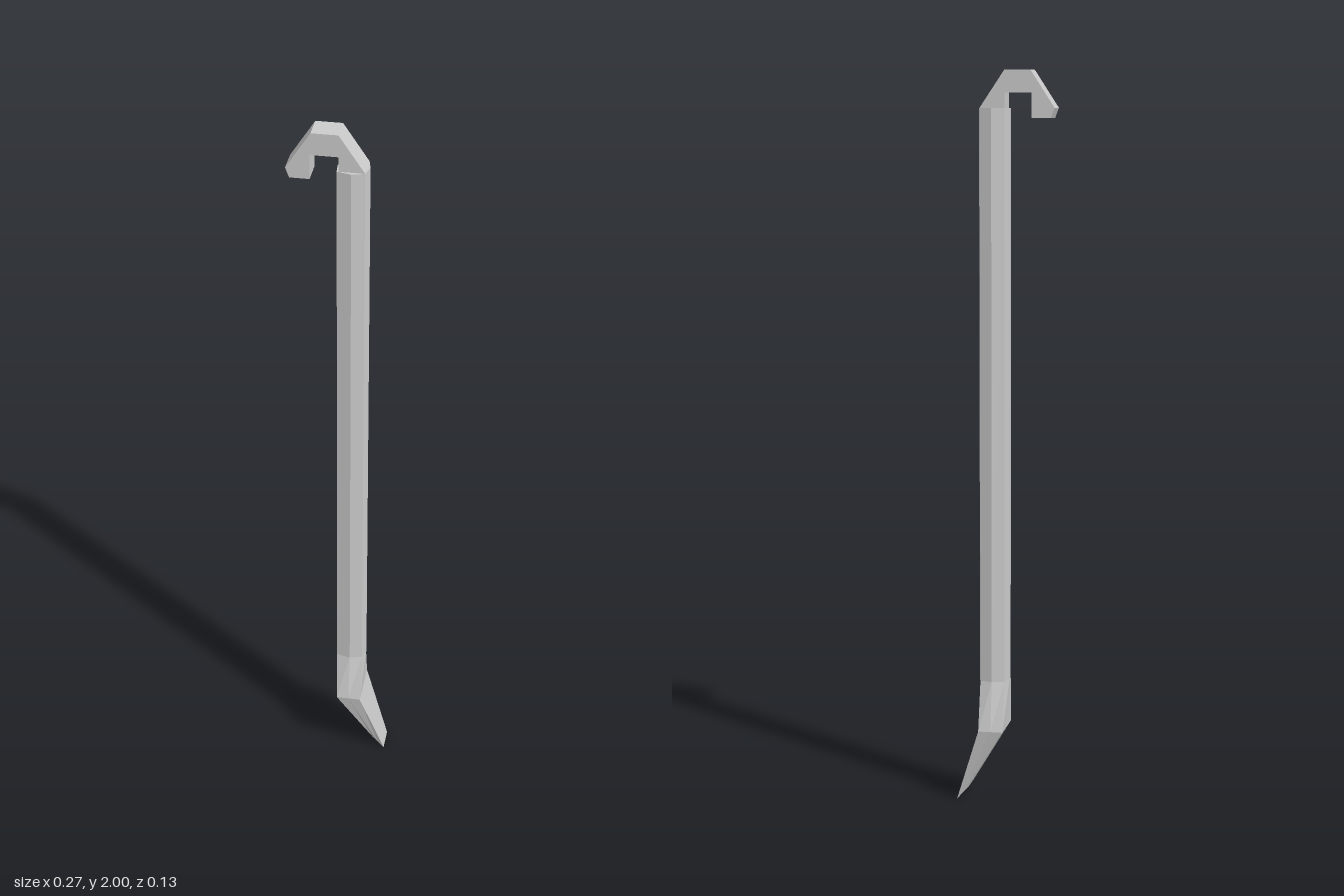
import * as THREE from 'three';

const material = new THREE.MeshStandardMaterial({ color: 0xcccccc, flatShading: true });

// Eight-sided section: left x, right x, left y, right y, corner z, side z, bulge of the x faces
function section(x0, x1, y0, y1, z, zSide, bulge) {
  const xm = (x0 + x1) / 2, ym = (y0 + y1) / 2;
  return [
    [x0, y0, -z], [x0 - bulge, y0, 0], [x0 - bulge * 0.6, y0, z], [xm, ym, zSide],
    [x1, y1, z], [x1 + bulge, y1, 0], [x1, y1, -z], [xm, ym, -zSide],
  ];
}

// Skin a stack of sections, bottom to top, and cap both ends
function loft(rings) {
  const n = rings[0].length, index = [];
  for (let r = 0; r < rings.length - 1; r++) {
    for (let i = 0; i < n; i++) {
      const j = (i + 1) % n, a = r * n + i, b = r * n + j;
      index.push(a, b, b + n, a, b + n, a + n);
    }
  }
  const top = (rings.length - 1) * n;
  for (let i = 1; i < n - 1; i++) {
    index.push(0, i + 1, i, top, top + i, top + i + 1);
  }
  const geometry = new THREE.BufferGeometry();
  geometry.setAttribute('position', new THREE.Float32BufferAttribute(rings.flat(2), 3));
  geometry.setIndex(index);
  const flat = geometry.toNonIndexed();
  flat.computeVertexNormals();
  return flat;
}

export function createModel() {
  const group = new THREE.Group();
  group.name = 'pryBar';
  const add = (name, geometry) => {
    const mesh = new THREE.Mesh(geometry, material);
    mesh.name = name;
    group.add(mesh);
  };

  const tip = section(0.1, 0.134, 0.038, 0, 0.034, 0.034, 0);
  const flare = section(0, 0.067, 0.205, 0.205, 0.067, 0.067, 0);
  const low = section(0, 0.067, 0.34, 0.34, 0.034, 0.044, 0.008);
  const high = section(0, 0.067, 1.9, 1.9, 0.034, 0.044, 0.008);

  // Faceted bar, flared chisel end
  add('shaft', loft([low, high]));
  add('chiselBlade', loft([tip, flare, low]));

  // Square-section hook bent over to the right
  const outline = [
    [0.067, 1.9], [0, 2], [-0.07, 2], [-0.135, 1.9], [-0.125, 1.873],
    [-0.073, 1.873], [-0.073, 1.94], [0, 1.94], [0, 1.9],
  ].map(([x, y]) => new THREE.Vector2(x, y));
  const hook = new THREE.ExtrudeGeometry(new THREE.Shape(outline), { depth: 0.068, bevelEnabled: false });
  hook.translate(0, 0, -0.034);
  add('hook', hook);

  return group;
}
